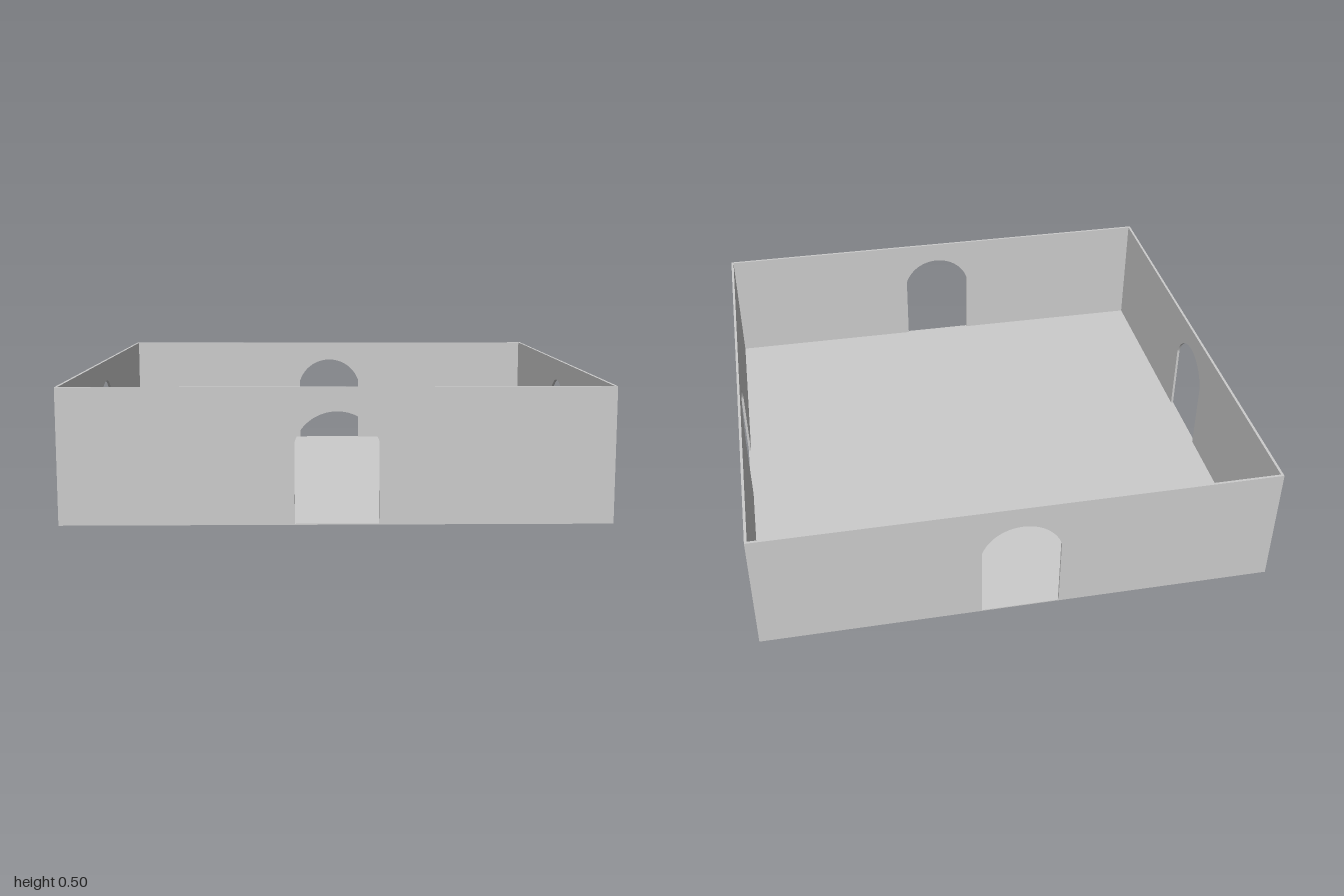
import * as THREE from 'three';

const HALF = 1, HEIGHT = 0.5, WALL = 0.01, FLOOR = 0.004;
const DOOR = 0.152, SPRING = 0.302, CROWN = 0.412;

// Wall outline with an arched doorway cut up from its base
function wallGeometry(halfLength) {
  const rise = CROWN - SPRING;
  const radius = (DOOR * DOOR + rise * rise) / (2 * rise);
  const centre = CROWN - radius;
  const start = Math.atan2(SPRING - centre, DOOR);
  const shape = new THREE.Shape();
  shape.moveTo(-halfLength, 0);
  shape.lineTo(-DOOR, 0);
  shape.lineTo(-DOOR, SPRING);
  shape.absarc(0, centre, radius, Math.PI - start, start, true);
  shape.lineTo(DOOR, 0);
  shape.lineTo(halfLength, 0);
  shape.lineTo(halfLength, HEIGHT);
  shape.lineTo(-halfLength, HEIGHT);
  shape.closePath();
  const geometry = new THREE.ExtrudeGeometry(shape, { depth: WALL, bevelEnabled: false, curveSegments: 24 });
  return geometry.translate(0, 0, HALF - WALL);
}

export function createModel() {
  const room = new THREE.Group();
  room.name = 'openRoom';
  const material = new THREE.MeshStandardMaterial({ color: 0xcccccc });

  // Thin floor slab
  const floor = new THREE.Mesh(new THREE.BoxGeometry(2 * HALF, FLOOR, 2 * HALF), material);
  floor.name = 'floor';
  floor.position.y = FLOOR / 2;
  room.add(floor);

  // Four walls; the side walls fit between the front and back ones
  const longWall = wallGeometry(HALF);
  const sideWall = wallGeometry(HALF - WALL);
  ['frontWall', 'leftWall', 'backWall', 'rightWall'].forEach((name, i) => {
    const wall = new THREE.Mesh(i % 2 ? sideWall : longWall, material);
    wall.name = name;
    wall.rotation.y = i * Math.PI / 2;
    room.add(wall);
  });
  return room;
}
